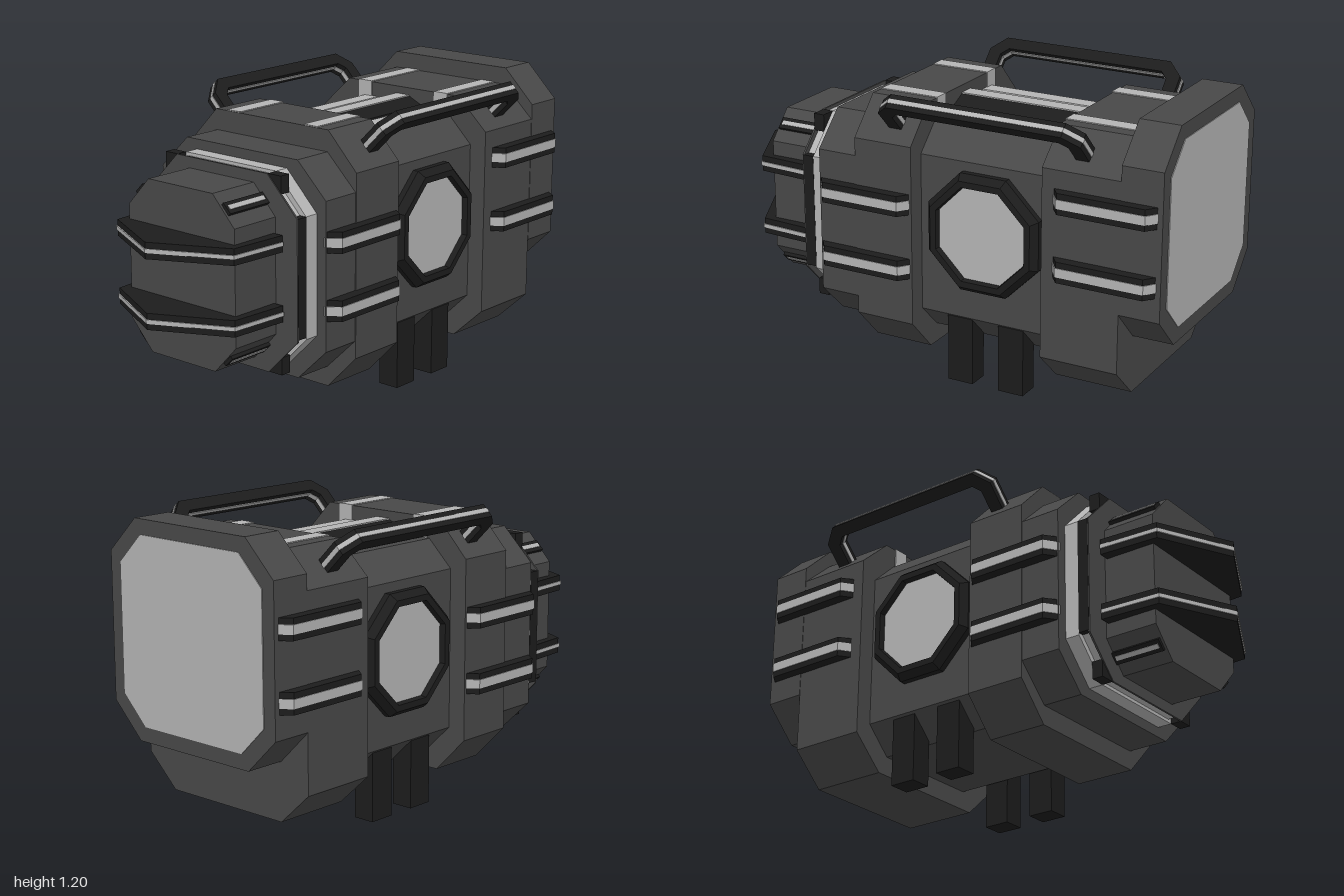
import * as THREE from 'three';

const material = (color) => new THREE.MeshStandardMaterial({ color, flatShading: true });
const BODY = material(0x484848);
const BLACK = material(0x1c1c1c);
const LIGHT = material(0xb4b4b4);

function add(parent, name, geometry, mat) {
  const mesh = new THREE.Mesh(geometry, mat);
  mesh.name = name;
  parent.add(mesh);
  return mesh;
}

// Extrusion of a polygon, centred on its thickness
function plate(points, thickness) {
  const shape = new THREE.Shape(points.map(([u, v]) => new THREE.Vector2(u, v)));
  return new THREE.ExtrudeGeometry(shape, { depth: thickness, bevelEnabled: false })
    .translate(0, 0, -thickness / 2);
}

// Plate drawn as (z, outward x), thickness running along y
function sidePlate(points, thickness) {
  const m = new THREE.Matrix4().makeBasis(
    new THREE.Vector3(0, 0, 1), new THREE.Vector3(1, 0, 0), new THREE.Vector3(0, 1, 0));
  return plate(points, thickness).applyMatrix4(m);
}

// Block with four chamfered corners, running along z
function octBlock(w, y0, y1, cx, cy, z0, z1) {
  return plate([
    [-w + cx, y0], [w - cx, y0], [w, y0 + cy], [w, y1 - cy],
    [w - cx, y1], [-w + cx, y1], [-w, y1 - cy], [-w, y0 + cy],
  ], z1 - z0).translate(0, 0, (z0 + z1) / 2);
}

function box(x0, x1, y0, y1, z0, z1) {
  return new THREE.BoxGeometry(x1 - x0, y1 - y0, z1 - z0)
    .translate((x0 + x1) / 2, (y0 + y1) / 2, (z0 + z1) / 2);
}

// Pair of groups at the same z, the second turned to face -x
function bothSides(parent, name, z, build) {
  ['left', 'right'].forEach((side, i) => {
    const pivot = new THREE.Group();
    pivot.name = side + name;
    pivot.position.z = z;
    pivot.rotation.y = i * Math.PI;
    build(pivot);
    parent.add(pivot);
  });
}

// Black bar with bevelled ends and a light centre strip
function barOutline(half, x0, x1) {
  const slope = 0.04;
  return [[-half, x0], [half, x0], [half - slope, x1], [-half + slope, x1]];
}

function addHandle(parent) {
  const arm = new THREE.Group();
  arm.name = 'handleFrame';
  arm.position.set(0.345, 1.03, 0);
  arm.rotation.z = Math.PI / 4;
  const outline = (e) => [
    [-0.43 - e, 0], [-0.43 - e, 0.14], [-0.37, 0.2 + e], [0.37, 0.2 + e],
    [0.43 + e, 0.14], [0.43 + e, 0], [0.375 - e, 0], [0.375 - e, 0.12],
    [0.345, 0.15 - e], [-0.345, 0.15 - e], [-0.375 + e, 0.12], [-0.375 + e, 0],
  ].reverse();
  add(arm, 'handleGrip', sidePlate(outline(0), 0.06), BLACK);
  add(arm, 'handleStrip', sidePlate(outline(0.003), 0.018), LIGHT);
  parent.add(arm);
}

function addPorthole(parent) {
  const rim = [[0.26, 0], [0.26, 0.035], [0.235, 0.065], [0.208, 0.065], [0.203, 0.035]]
    .map(([r, y]) => new THREE.Vector2(r, y));
  const place = (g) => g.rotateZ(-Math.PI / 2).translate(0.345, 0.655, 0);
  add(parent, 'portholeRim', place(new THREE.LatheGeometry(rim, 8, Math.PI / 8)), BLACK);
  add(parent, 'portholeGlass',
    place(new THREE.CylinderGeometry(0.21, 0.21, 0.04, 8, 1, false, Math.PI / 8).translate(0, 0.02, 0)), LIGHT);
}

export function createModel() {
  const model = new THREE.Group();
  model.name = 'machine';
  const root = new THREE.Group();
  root.name = 'assembly';
  root.position.x = 0.005;
  model.add(root);

  // Main hull blocks from back to front
  add(root, 'backCap', octBlock(0.432, 0.335, 1.195, 0.14, 0.138, -0.997, -0.83), BODY);
  add(root, 'backPanel', octBlock(0.375, 0.395, 1.135, 0.115, 0.115, -1, -0.98), LIGHT);
  add(root, 'rearBlock', octBlock(0.43, 0.1, 1.125, 0.14, 0.13, -0.83, -0.507), BODY);
  add(root, 'middleBlock', octBlock(0.355, 0.18, 1.04, 0.11, 0.107, -0.51, 0.06), BODY);
  add(root, 'frontBlock', octBlock(0.432, 0.1, 1.125, 0.14, 0.145, 0.057, 0.31), BODY);
  add(root, 'frontCollar', octBlock(0.428, 0.18, 1.04, 0.14, 0.135, 0.31, 0.48), BODY);

  // Light ring with dark clasps behind a face plate
  add(root, 'ring', octBlock(0.383, 0.222, 1.0, 0.148, 0.15, 0.48, 0.54), LIGHT);
  add(root, 'ringCore', octBlock(0.365, 0.235, 0.987, 0.148, 0.15, 0.54, 0.583), LIGHT);
  add(root, 'ringFace', octBlock(0.383, 0.222, 1.0, 0.148, 0.15, 0.582, 0.59), BODY);
  for (const s of [-1, 1]) {
    const clasp = (y0, y1, a, b) =>
      add(root, 'ringClasp', box(Math.min(s * a, s * b), Math.max(s * a, s * b), y0, y1, 0.54, 0.586), BLACK);
    clasp(0.38, 0.85, 0.31, 0.384);
    clasp(0.93, 1.0, 0.235, 0.3);
    clasp(0.222, 0.292, 0.235, 0.3);
  }

  // Nose with two pointed bumpers
  add(root, 'nose', octBlock(0.275, 0.268, 0.956, 0.108, 0.115, 0.59, 0.81), BODY);
  const bumper = (e) => [
    [-0.32 - e, 0.6], [0.32 + e, 0.6], [0.305 + e, 0.845 + e], [0, 0.995 + e], [-0.305 - e, 0.845 + e],
  ];
  for (const y of [0.475, 0.748]) {
    add(root, 'bumper', plate(bumper(0), 0.065).rotateX(Math.PI / 2).translate(0, y, 0), BLACK);
    add(root, 'bumperStrip', plate(bumper(0.004), 0.016).rotateX(Math.PI / 2).translate(0, y, 0), LIGHT);
  }

  // Short ribs on the nose chamfers
  for (const sx of [-1, 1]) for (const sy of [-1, 1]) {
    const rib = new THREE.Group();
    rib.name = 'noseRib';
    rib.position.set(sx * 0.22, 0.612 + sy * 0.288, 0.695);
    rib.rotation.z = Math.atan2(sy, sx);
    add(rib, 'noseRibBar', new THREE.BoxGeometry(0.026, 0.05, 0.21), BLACK);
    add(rib, 'noseRibStrip', new THREE.BoxGeometry(0.032, 0.018, 0.19), LIGHT);
    root.add(rib);
  }

  // Side bars: front pair and rear pair on each side
  for (const [z, half, heights] of [[0.27, 0.21, [0.478, 0.745]], [-0.767, 0.217, [0.61, 0.88]]]) {
    bothSides(root, 'SideBars', z, (g) => {
      for (const y of heights) {
        add(g, 'sideBar', sidePlate(barOutline(half, 0.42, 0.474), 0.084).translate(0, y, 0), BLACK);
        add(g, 'sideBarStrip', sidePlate(barOutline(half + 0.003, 0.42, 0.477), 0.036).translate(0, y, 0), LIGHT);
      }
    });
  }

  // Portholes and carrying handles
  bothSides(root, 'Porthole', -0.23, addPorthole);
  bothSides(root, 'Handle', -0.25, addHandle);

  // Bars along the top recess
  for (const x of [-0.168, 0, 0.168]) {
    const half = x === 0 ? 0.1 : 0.042;
    const top = x === 0 ? 1.09 : 1.06;
    const rail = plate([[-half, 1.0], [half, 1.0], [half, top - 0.03], [0.036, top], [-0.036, top], [-half, top - 0.03]], 0.57);
    add(root, 'topRail', rail.translate(x, 0, -0.225), BLACK);
    add(root, 'topRailStrip', box(x - 0.034, x + 0.034, 1.02, top + 0.005, -0.51, 0.06), LIGHT);
  }

  // Light stripes over the rear and front blocks, folding into the recess
  for (const s of [-1, 1]) {
    const x = s * 0.2;
    add(root, 'rearStripe', box(x - 0.034, x + 0.034, 1.03, 1.129, -0.83, -0.503), LIGHT);
    add(root, 'frontStripe', box(x - 0.034, x + 0.034, 1.03, 1.129, 0.053, 0.307), LIGHT);
  }

  // Four legs
  for (const s of [-1, 1]) for (const z of [-0.11, -0.335]) {
    add(root, 'leg', box(s * 0.3 - 0.046, s * 0.3 + 0.046, 0, 0.29, z - 0.055, z + 0.055), BLACK);
  }

  return model;
}
